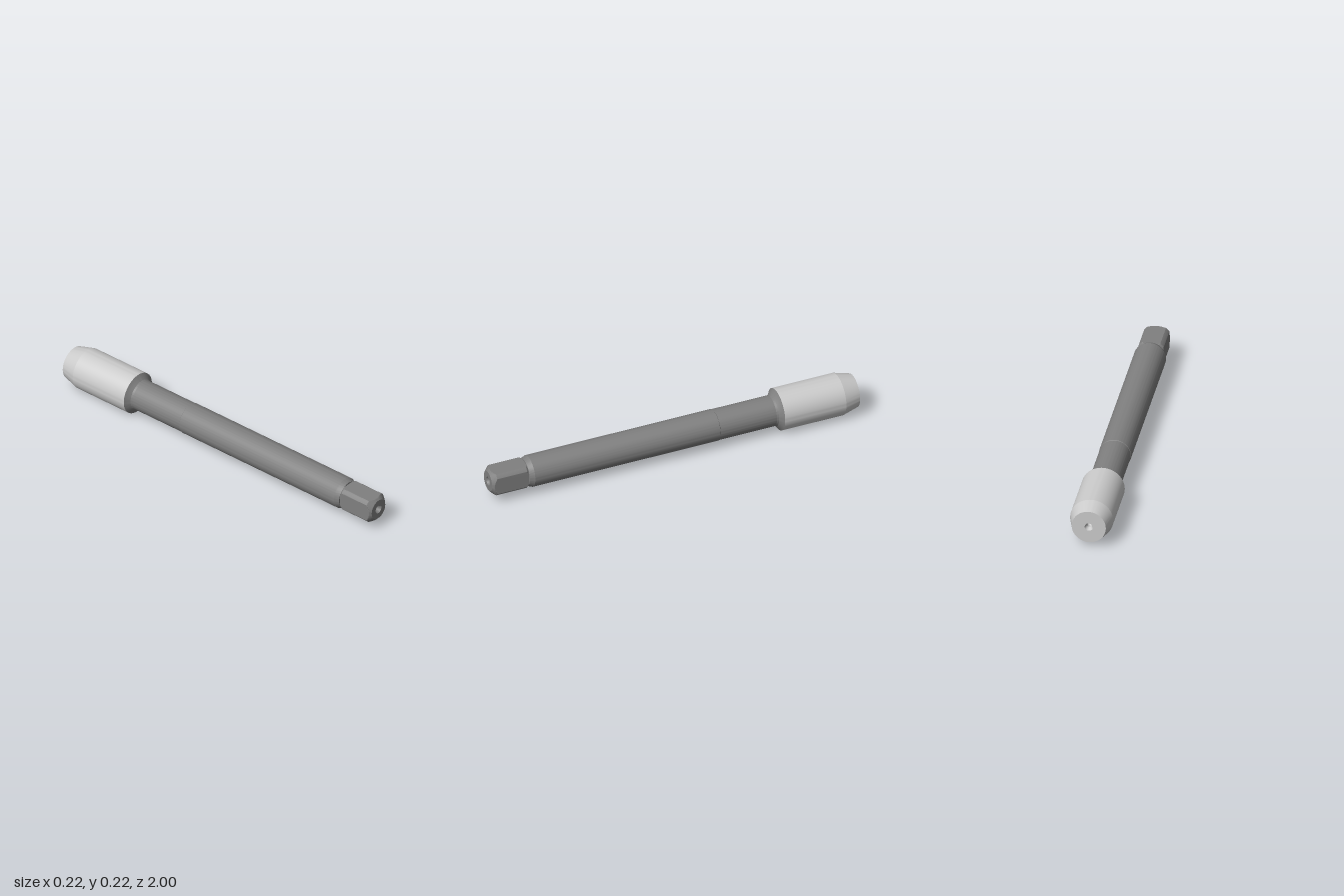
import * as THREE from 'three';
import { toCreasedNormals } from 'three/addons/utils/BufferGeometryUtils.js';

const AXIS_Y = 0.11;
const SEGMENTS = 80;
const CORNER_R = 0.079;
const FLAT = CORNER_R * Math.cos(Math.PI / 5); // flats meet the rounded corners on a segment line

const dark = new THREE.MeshStandardMaterial({ color: 0x808080 });
const light = new THREE.MeshStandardMaterial({ color: 0xcccccc });

// Turned part from [radius, z] pairs, listed from back to front
function turned(name, profile, material, shape) {
  const points = profile.map(([r, z]) => new THREE.Vector2(r, z));
  const geometry = new THREE.LatheGeometry(points, SEGMENTS);
  geometry.rotateX(Math.PI / 2);
  if (shape) shape(geometry.attributes.position);
  const mesh = new THREE.Mesh(toCreasedNormals(geometry, 0.2), material);
  mesh.name = name;
  return mesh;
}

// Pull every vertex beyond the four flats back onto them
function squareOff(position) {
  for (let i = 0; i < position.count; i++) {
    const x = position.getX(i), y = position.getY(i);
    const k = Math.min(1, FLAT / Math.max(Math.abs(x), Math.abs(y), 1e-6));
    position.setXY(i, x * k, y * k);
  }
}

export function createModel() {
  const model = new THREE.Group();
  model.name = 'threadingTool';

  const body = new THREE.Group();
  body.name = 'body';
  body.position.y = AXIS_Y;
  model.add(body);

  // Cutting head with tapered tip and centre hole
  body.add(turned('cuttingHead', [
    [0, -0.95], [0.013, -0.958], [0.013, -0.978], [0.021, -1],
    [0.087, -1], [0.11, -0.915], [0.11, -0.58],
  ], light));

  // Sloping shoulder behind the head, and the slimmer neck
  body.add(turned('neck', [
    [0.11, -0.58], [0.104, -0.576], [0.09, -0.565], [0.083, -0.558],
    [0.08, -0.548], [0.08, -0.24],
  ], dark));

  // Shank with chamfered front end
  body.add(turned('shank', [
    [0.08, -0.24], [0.082, -0.238], [0.082, 0.776], [0.079, 0.782],
    [0.072, 0.802], [0.055, 0.802],
  ], dark));

  // Square drive: corners relieved at the shank, coned at the free end
  const drive = [[0.055, 0.802], [0.07, 0.802]];
  for (let i = 0; i <= 5; i++) drive.push([0.072 + 0.0014 * i, 0.802 + 0.002 * i]);
  for (let i = 0; i <= 8; i++) drive.push([CORNER_R - 0.00325 * i, 0.976 + 0.003 * i]);
  // Centre hole in the drive end
  drive.push([0.023, 1], [0.014, 0.982], [0.014, 0.96], [0, 0.952]);
  body.add(turned('squareDrive', drive, dark, squareOff));

  return model;
}
